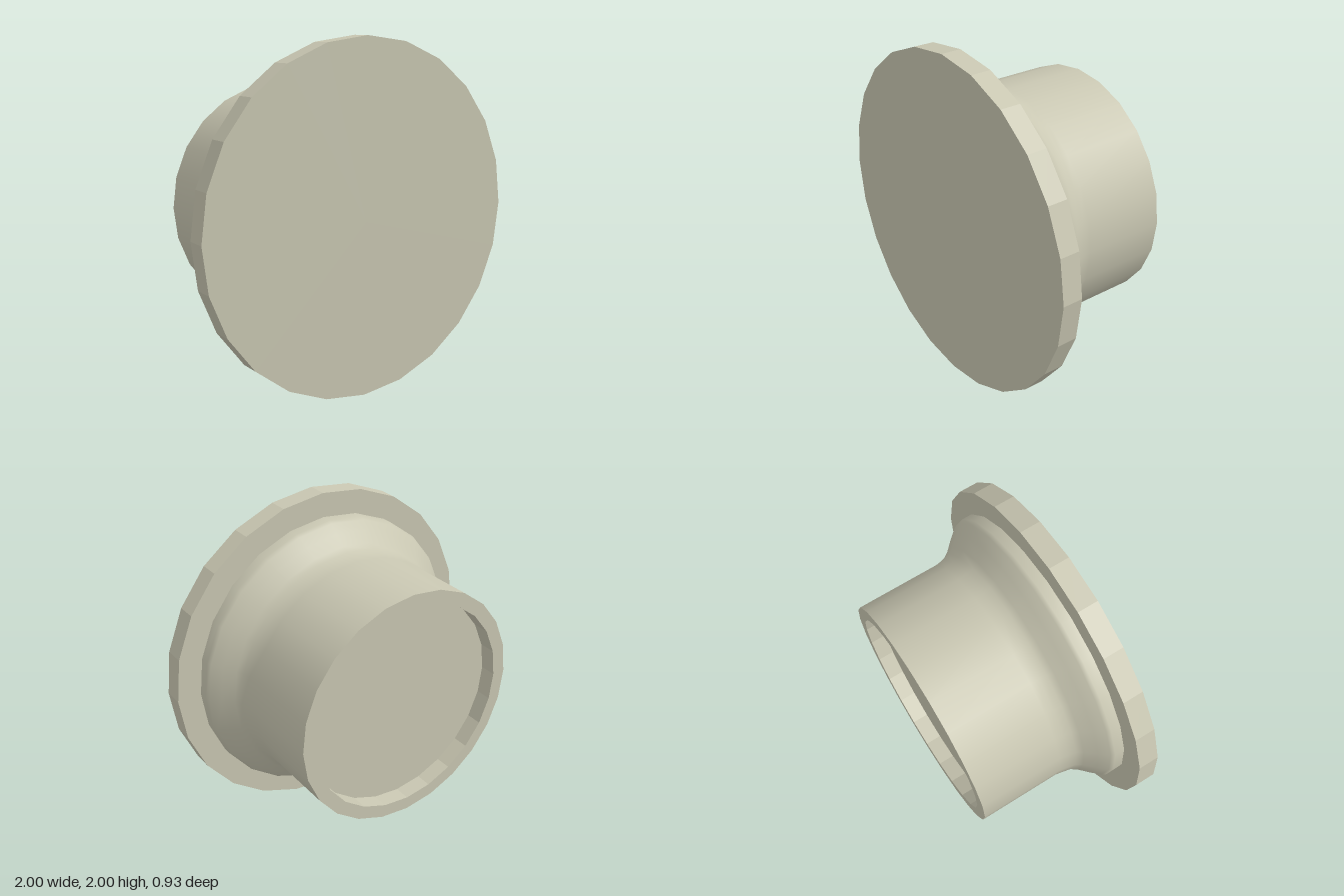
import * as THREE from 'three';

const SIDES = 24;
const COLOR = 0xc9c7b2;

// Revolves [radius, z] points, listed from back to front, around the z axis
function turned(name, profile, flatShading) {
  const points = profile.map(([r, z]) => new THREE.Vector2(r, z));
  const geometry = new THREE.LatheGeometry(points, SIDES);
  geometry.rotateX(Math.PI / 2);
  const material = new THREE.MeshStandardMaterial({ color: COLOR, flatShading });
  const mesh = new THREE.Mesh(geometry, material);
  mesh.name = name;
  return mesh;
}

export function createModel() {
  const group = new THREE.Group();
  group.name = 'flangedKnob';

  // Faceted front plate
  const flange = turned('frontFlange', [[0, 0.348], [1, 0.348], [1, 0.466], [0, 0.466]], true);

  // Smooth neck flaring out to a shoulder behind the plate
  const neck = turned('flaredNeck', [
    [0.703, -0.466], [0.703, 0.03], [0.712, 0.08], [0.722, 0.125], [0.745, 0.16],
    [0.8, 0.217], [0.845, 0.268], [0.858, 0.29], [0.858, 0.348],
  ], false);

  // Shallow recess and rim at the back end
  const recess = turned('backRecess', [[0, -0.37], [0.623, -0.37], [0.623, -0.466], [0.703, -0.466]], true);

  group.add(flange, neck, recess);
  group.children.forEach((part) => { part.position.y = 1; });
  return group;
}
